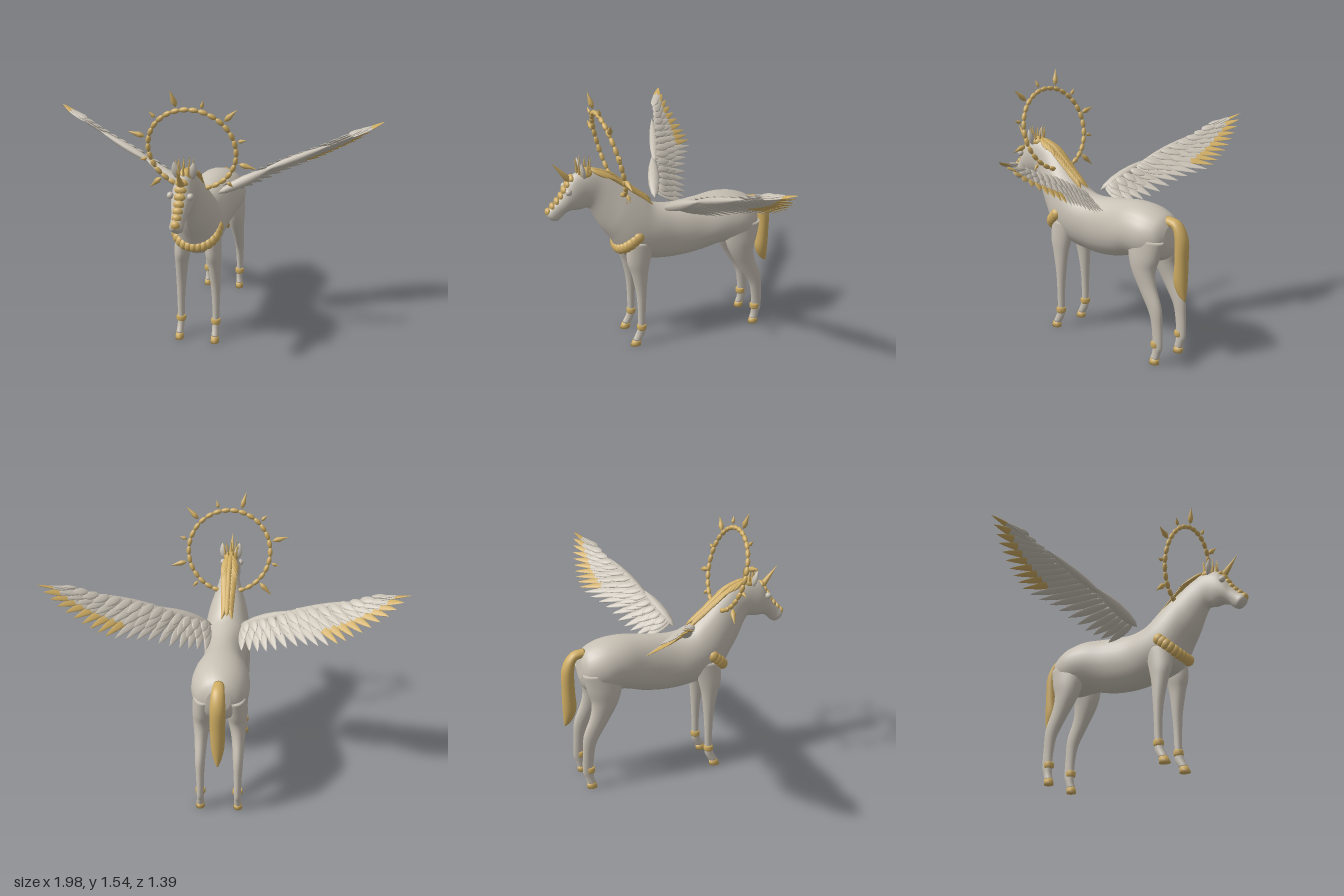
import * as THREE from 'three';

const coat = new THREE.MeshStandardMaterial({ color: 0xc6bfb3 });
coat.name = 'pale grey coat';
const gold = new THREE.MeshStandardMaterial({ color: 0xcdab62 });
gold.name = 'gold';
const V = (x, y, z) => new THREE.Vector3(x, y, z);

function add(parent, name, geo, mat) {
  const m = new THREE.Mesh(geo, mat);
  m.name = name;
  parent.add(m);
  return m;
}
function group(parent, name) {
  const g = new THREE.Group();
  g.name = name;
  parent.add(g);
  return g;
}

// Smooth skin over elliptical sections: [z, y of one edge, z, y of opposite edge, half width, x]
function loft(sections, sub = 5, n = 24) {
  const rows = [], last = sections.length - 1;
  const at = i => sections[Math.min(last, Math.max(0, i))];
  for (let i = 0; i < last; i++) for (let k = 0; k < sub; k++) {
    const t = k / sub;
    rows.push(at(i).map((p, c) => {
      const o = at(i - 1)[c], q = at(i + 1)[c], r = at(i + 2)[c];
      return p + 0.5 * t * (q - o + t * (2 * o - 5 * p + 4 * q - r + t * (3 * (p - q) + r - o)));
    }));
  }
  rows.push(at(last));
  const cap = ([a, b, c, d, , x]) => [(a + c) / 2, (b + d) / 2, (a + c) / 2, (b + d) / 2, 0, x];
  const all = [cap(rows[0]), ...rows, cap(rows[rows.length - 1])];
  const pos = [], idx = [];
  all.forEach(([tz, ty, bz, by, w, x], i) => {
    for (let j = 0; j < n; j++) {
      const a = j / n * Math.PI * 2, s = Math.sin(a) / 2;
      pos.push(x + Math.cos(a) * w, (ty + by) / 2 + s * (ty - by), (tz + bz) / 2 + s * (tz - bz));
      if (i === all.length - 1) continue;
      const p = i * n + j, q = i * n + (j + 1) % n;
      idx.push(p, q, p + n, q, q + n, p + n);
    }
  });
  const g = new THREE.BufferGeometry();
  g.setAttribute('position', new THREE.Float32BufferAttribute(pos, 3));
  g.setIndex(idx);
  g.computeVertexNormals();
  return g;
}

// Unit shapes shared by feathers, spikes and beads
const lathe = pts => new THREE.LatheGeometry(pts.map(p => new THREE.Vector2(p[0], p[1])), 10);
const blade = lathe([[0, 0], [0.6, 0.1], [0.95, 0.3], [1, 0.5], [0.8, 0.7], [0.4, 0.88], [0, 1]]);
const bladeRoot = lathe([[0, 0], [0.6, 0.1], [0.95, 0.3], [1, 0.5], [0.92, 0.6]]);
const bladeTip = lathe([[0.92, 0.6], [0.8, 0.7], [0.4, 0.88], [0, 1]]);
const spike = lathe([[0, 0], [0.7, 0.15], [1, 0.35], [0.45, 0.68], [0, 1]]);
const horn = lathe([[0, 0], [1, 0.02], [0.55, 0.5], [0, 1]]);
const ball = new THREE.SphereGeometry(1, 16, 12);

// Stretch a unit shape from a to b, flat side facing "up"
function span(parent, name, geo, mat, a, b, w, t = w, up = V(0, 1, 0)) {
  const m = add(parent, name, geo, mat);
  const y = b.clone().sub(a), len = y.length();
  y.normalize();
  const x = y.clone().cross(up).normalize(), z = x.clone().cross(y);
  m.quaternion.setFromRotationMatrix(new THREE.Matrix4().makeBasis(x, y, z));
  m.position.copy(a);
  m.scale.set(w, len, t);
  return m;
}
function bead(parent, name, mat, p, sx, sy, sz) {
  const m = add(parent, name, ball, mat);
  m.position.copy(p);
  m.scale.set(sx, sy, sz);
  return m;
}

function makeWing(root, s) {
  const wing = group(root, s > 0 ? 'leftWing' : 'rightWing');
  const curve = pts => new THREE.CatmullRomCurve3(pts.map(p => V(s * p[0], p[1], p[2])));
  const lead = curve([[0.1, 0.88, 0], [0.25, 0.95, -0.05], [0.42, 1.03, -0.09], [0.62, 1.1, -0.16], [0.8, 1.17, -0.23]]);
  const trail = curve([[0.1, 0.8, -0.17], [0.25, 0.84, -0.24], [0.43, 0.92, -0.31],
    [0.6, 0.98, -0.4], [0.73, 1.05, -0.4], [0.87, 1.14, -0.37], [0.99, 1.25, -0.33]]);
  // Arm along the leading edge
  span(wing, 'upperArm', blade, coat, V(s * 0.08, 0.86, 0.02), V(s * 0.38, 1.01, -0.07), 0.036, 0.03);
  span(wing, 'forearm', blade, coat, V(s * 0.32, 0.985, -0.065), V(s * 0.7, 1.135, -0.18), 0.026, 0.02);
  // Flight feathers below, two shorter rows of coverts above
  [[20, 1, 0, 0.026], [17, 0.66, 0.012, 0.026], [14, 0.4, 0.022, 0.024]].forEach(([n, reach, lift, w], row) => {
    for (let i = 0; i < n; i++) {
      const t = (i + row * 0.3) / (n - 1 + row * 0.3);
      const a = lead.getPoint(t), b = trail.getPoint(t);
      const up = lead.getTangent(t).cross(b.clone().sub(a)).normalize();
      if (up.y < 0) up.negate();
      b.lerpVectors(a, b, reach);
      a.addScaledVector(up, lift);
      b.addScaledVector(up, lift * 0.7);
      if (row === 0 && t > 0.48) {
        span(wing, 'flightFeather', bladeRoot, coat, a, b, w, 0.006, up);
        span(wing, 'flightFeatherTip', bladeTip, gold, a, b, w, 0.006, up);
      } else span(wing, 'feather', blade, coat, a, b, w, 0.007, up);
    }
  });
}

export function createModel() {
  const root = new THREE.Group();
  root.name = 'wingedHorse';

  // Rump, barrel, neck and head in one skin
  add(root, 'body', loft([
    [-0.58, 0.78, -0.588, 0.66, 0.06, 0], [-0.54, 0.83, -0.56, 0.59, 0.12, 0],
    [-0.45, 0.866, -0.47, 0.56, 0.158, 0], [-0.34, 0.878, -0.34, 0.562, 0.155, 0],
    [-0.2, 0.865, -0.2, 0.525, 0.128, 0], [-0.05, 0.852, -0.05, 0.512, 0.122, 0],
    [0.06, 0.87, 0.1, 0.53, 0.135, 0], [0.13, 0.925, 0.25, 0.575, 0.133, 0],
    [0.2, 0.98, 0.335, 0.7, 0.112, 0], [0.27, 1.035, 0.385, 0.775, 0.085, 0],
    [0.35, 1.09, 0.43, 0.865, 0.06, 0], [0.44, 1.125, 0.455, 0.9, 0.056, 0],
    [0.53, 1.105, 0.5, 0.895, 0.058, 0], [0.575, 1.045, 0.55, 0.897, 0.052, 0],
    [0.61, 0.985, 0.585, 0.882, 0.041, 0], [0.655, 0.94, 0.61, 0.857, 0.036, 0],
    [0.686, 0.91, 0.635, 0.845, 0.036, 0], [0.69, 0.885, 0.66, 0.852, 0.02, 0]]), coat);

  add(root, 'tail', loft([
    [-0.55, 0.77, -0.55, 0.828, 0.03, 0], [-0.6, 0.765, -0.63, 0.808, 0.036, 0],
    [-0.615, 0.69, -0.684, 0.72, 0.042, 0], [-0.614, 0.57, -0.69, 0.58, 0.04, 0],
    [-0.61, 0.47, -0.69, 0.47, 0.036, 0], [-0.64, 0.4, -0.688, 0.4, 0.02, 0],
    [-0.675, 0.37, -0.685, 0.368, 0.005, 0]]), gold);

  for (const s of [1, -1]) {
    const side = s > 0 ? 'left' : 'right';
    const leg = (name, sections, hoof, bandZ, bandY) => {
      const put = a => a.map(r => [...r.slice(0, 5), r[5] * s]);
      const g = group(root, side + name);
      add(g, 'leg', loft(put(sections)), coat);
      add(g, 'hoof', loft(put(hoof), 2), gold);
      const band = add(g, 'ankleBand', lathe([[0, -0.018], [0.024, -0.018], [0.029, -0.01], [0.029, 0.01], [0.024, 0.018], [0, 0.018]]), gold);
      band.position.set(s * 0.105, bandY, bandZ);
    };
    leg('FrontLeg', [
      [0.25, 0.68, 0.08, 0.68, 0.05, 0.082], [0.252, 0.56, 0.11, 0.56, 0.046, 0.09],
      [0.23, 0.48, 0.128, 0.48, 0.037, 0.097], [0.205, 0.36, 0.14, 0.36, 0.029, 0.102],
      [0.196, 0.25, 0.147, 0.25, 0.023, 0.105], [0.195, 0.14, 0.15, 0.14, 0.02, 0.105],
      [0.203, 0.09, 0.152, 0.08, 0.02, 0.105], [0.228, 0.038, 0.178, 0.032, 0.021, 0.107]],
    [[0.229, 0.038, 0.178, 0.032, 0.022, 0.107], [0.246, 0, 0.18, 0, 0.025, 0.107]], 0.173, 0.118);
    leg('HindLeg', [
      [-0.35, 0.72, -0.585, 0.7, 0.06, 0.085], [-0.365, 0.6, -0.565, 0.6, 0.06, 0.092],
      [-0.395, 0.51, -0.545, 0.53, 0.05, 0.098], [-0.46, 0.4, -0.556, 0.45, 0.036, 0.103],
      [-0.525, 0.29, -0.6, 0.335, 0.028, 0.105], [-0.545, 0.2, -0.61, 0.22, 0.022, 0.105],
      [-0.55, 0.12, -0.614, 0.11, 0.02, 0.105], [-0.55, 0.07, -0.602, 0.07, 0.02, 0.105],
      [-0.54, 0.036, -0.593, 0.033, 0.021, 0.107]],
    [[-0.54, 0.036, -0.594, 0.033, 0.022, 0.107], [-0.532, 0, -0.592, 0, 0.025, 0.107]], -0.57, 0.118);

    bead(root, side + 'Eye', coat, V(s * 0.054, 1.025, 0.568), 0.018, 0.019, 0.019);
    span(root, side + 'Ear', blade, coat, V(s * 0.036, 1.085, 0.47), V(s * 0.054, 1.185, 0.492), 0.024, 0.014, V(0, 0, 1));
    makeWing(root, s);
  }

  // Collar of overlapping beads round the chest
  const collar = group(root, 'collar');
  const arc = new THREE.CatmullRomCurve3([[-0.125, 0.72, 0.19], [-0.112, 0.675, 0.24], [-0.065, 0.64, 0.275], [0, 0.63, 0.285],
    [0.065, 0.64, 0.275], [0.112, 0.675, 0.24], [0.125, 0.72, 0.19]].map(p => V(...p)));
  for (let i = 0; i < 15; i++) bead(collar, 'collarBead', gold, arc.getPointAt(i / 14), 0.026, 0.034, 0.032);

  // Halo of beads with long and short rays, tilted forward at the top
  const halo = group(root, 'halo');
  halo.position.set(0, 1.2, 0.32);
  halo.rotation.x = 0.248;
  const R = 0.242, polar = (a, r) => V(Math.cos(a) * r, Math.sin(a) * r, 0);
  for (let i = 0; i < 30; i++) {
    const a = i / 30 * Math.PI * 2;
    const m = bead(halo, 'haloBead', gold, polar(a, R), 0.014, 0.027, 0.014);
    m.rotation.z = a;
  }
  for (let i = 0; i < 12; i++) {
    const a = (15 + 30 * i) * Math.PI / 180, long = i % 2;
    span(halo, 'haloRay', spike, gold, polar(a, 0.262), polar(a, long ? 0.365 : 0.312), long ? 0.016 : 0.011, long ? 0.016 : 0.011, V(0, 0, 1));
  }

  // Crown, horn and face plates
  const crown = group(root, 'crown');
  bead(crown, 'crownCap', gold, V(0, 1.105, 0.46), 0.044, 0.032, 0.046);
  for (let i = 0; i < 9; i++) {
    const a = i / 9 * Math.PI * 2 + Math.PI / 2, c = Math.cos(a), d = Math.sin(a);
    span(crown, 'crownSpike', horn, gold, V(c * 0.036, 1.11, 0.47 + d * 0.034), V(c * 0.048, 1.2, 0.47 + d * 0.044), 0.008, 0.008, V(0, 0, 1));
  }
  span(root, 'horn', horn, gold, V(0, 1.075, 0.55), V(0, 1.188, 0.645), 0.02);
  const face = new THREE.CatmullRomCurve3([V(0, 1.085, 0.54), V(0, 1.04, 0.572), V(0, 0.985, 0.604), V(0, 0.94, 0.645), V(0, 0.905, 0.678)]);
  for (let i = 0; i < 7; i++) bead(root, 'facePlate', gold, face.getPointAt(i / 6), 0.034 - i * 0.0015, 0.023, 0.018);

  // Mane of blades fanning back over the crest
  const mane = group(root, 'mane');
  const crest = new THREE.CatmullRomCurve3([V(0, 1.125, 0.43), V(0, 1.092, 0.35), V(0, 1.04, 0.27), V(0, 0.985, 0.2), V(0, 0.945, 0.15)]);
  for (let i = 0; i < 15; i++) {
    const t = i / 14, p = crest.getPointAt(t), dir = crest.getTangentAt(t);
    for (const s of [-1, 0, 1]) {
      const a = p.clone().add(V(s * 0.008, 0.004, 0));
      const b = p.clone().addScaledVector(dir, 0.1).add(V(s * (0.052 - 0.02 * t), s ? -0.012 : 0.008, 0));
      span(mane, 'maneBlade', blade, gold, a, b, 0.015, 0.012);
    }
  }
  return root;
}
